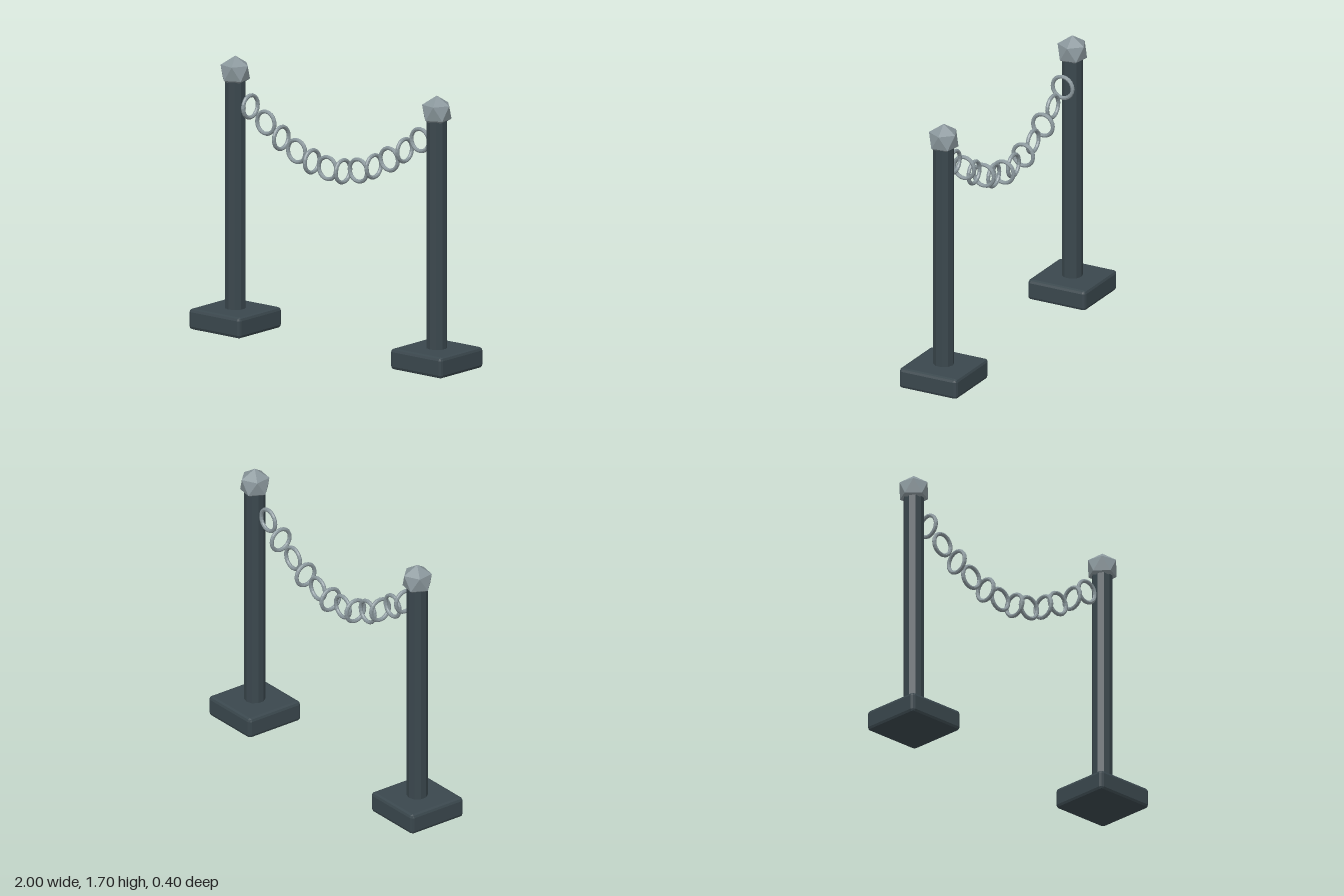
import * as THREE from 'three';
import { RoundedBoxGeometry } from 'three/addons/geometries/RoundedBoxGeometry.js';

const darkIron = new THREE.MeshStandardMaterial({ color: 0x3a474d, flatShading: true });
darkIron.name = 'dark iron';
const paleSteel = new THREE.MeshStandardMaterial({ color: 0x8a979c, flatShading: true });
paleSteel.name = 'pale steel';

function addPart(parent, name, geometry, material, x, y) {
  const mesh = new THREE.Mesh(geometry, material);
  mesh.name = name;
  mesh.position.set(x, y, 0);
  parent.add(mesh);
  return mesh;
}

export function createModel() {
  const model = new THREE.Group();
  model.name = 'chainBarrier';

  // Chamfered foot, ten-sided post and faceted finial with one corner up
  const base = new RoundedBoxGeometry(0.405, 0.13, 0.4, 1, 0.02);
  const post = new THREE.CylinderGeometry(0.064, 0.064, 1.45, 10);
  const finial = new THREE.IcosahedronGeometry(0.1, 0);
  finial.rotateZ(Math.atan2(2, 1 + Math.sqrt(5)));
  finial.rotateY(THREE.MathUtils.degToRad(-28));

  for (const side of [-1, 1]) {
    const stand = new THREE.Group();
    stand.name = side > 0 ? 'leftPost' : 'rightPost';
    stand.position.x = side * 0.797;
    addPart(stand, 'base', base, darkIron, 0, 0.065);
    addPart(stand, 'post', post, darkIron, 0, 0.835);
    addPart(stand, 'finial', finial, paleSteel, 0, 1.6);
    model.add(stand);
  }

  // Sagging chain of rings, turned alternately across and along its run
  const chain = new THREE.Group();
  chain.name = 'chain';
  const link = new THREE.TorusGeometry(0.069, 0.0125, 8, 20);
  const count = 12;
  for (let i = 0; i < count; i++) {
    const t = i / (count - 1);
    const x = -0.677 + 1.342 * t;
    const y = 1.402 - 0.292 * Math.sin(Math.PI * t);
    const ring = addPart(chain, 'chainLink', link, paleSteel, x, y);
    if (i % 2 === 0) ring.rotation.y = Math.PI / 2;
  }
  model.add(chain);

  return model;
}
